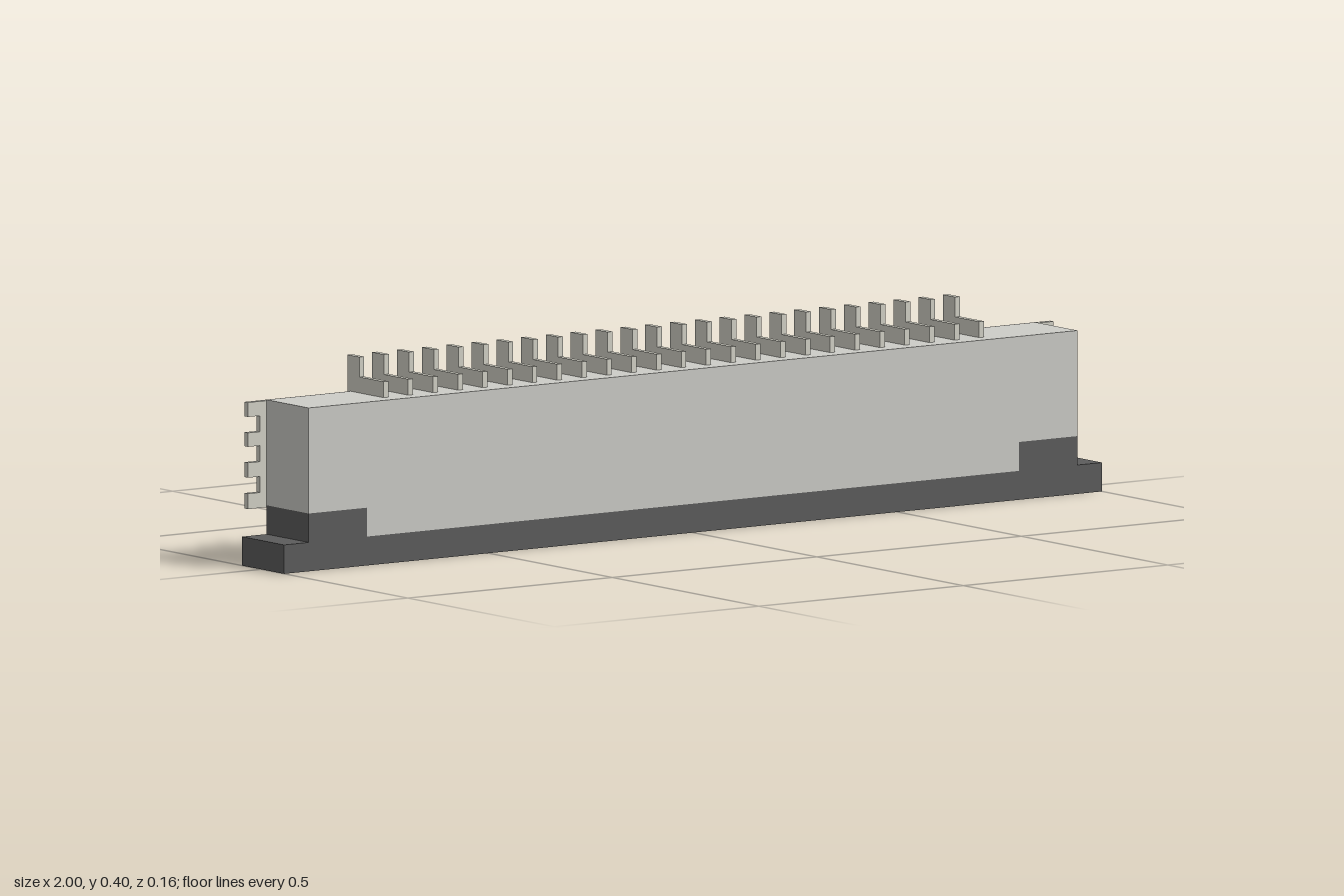
import * as THREE from 'three';

const mat = (color) => new THREE.MeshStandardMaterial({ color, flatShading: true });

export function createModel() {
  const root = new THREE.Group();
  const housingMat = mat(0xcdcdc8);
  const metalMat = mat(0xd4d3c8);
  const darkMat = mat(0x5c5c5c);

  // Box given by its lower and upper limits on each axis
  function box(name, material, [x0, x1], [y0, y1], [z0, z1], parent = root) {
    const mesh = new THREE.Mesh(new THREE.BoxGeometry(x1 - x0, y1 - y0, z1 - z0), material);
    mesh.position.set((x0 + x1) / 2, (y0 + y1) / 2, (z0 + z1) / 2);
    mesh.name = name;
    parent.add(mesh);
    return mesh;
  }

  // Flat outline extruded by depth along +z
  function extrude(points, depth) {
    const shape = new THREE.Shape(points.map(([x, y]) => new THREE.Vector2(x, y)));
    return new THREE.ExtrudeGeometry(shape, { depth, bevelEnabled: false });
  }

  const BACK = -0.066, FRONT = 0.078, PLATE = -0.078;
  const PITCH = 0.0607, PINS = 25, SLOT = 0.79;

  // Housing: main block, core behind the front bar, raised back panel
  const housing = new THREE.Group();
  housing.name = 'housing';
  root.add(housing);
  box('housingBlock', housingMat, [-0.94, 0.94], [0.116, 0.328], [BACK, FRONT], housing);
  box('housingCore', housingMat, [-0.797, 0.797], [0.058, 0.116], [-0.025, FRONT], housing);
  box('backPanel', housingMat, [-0.8, 0.8], [0.112, 0.326], [PLATE, BACK], housing);

  // Dark slider: U-shaped base with a slot open to the back, plus end blocks
  const slider = new THREE.Group();
  slider.name = 'slider';
  root.add(slider);
  const base = new THREE.Mesh(extrude([
    [-1, -FRONT], [1, -FRONT], [1, -BACK], [SLOT, -BACK],
    [SLOT, -0.025], [-SLOT, -0.025], [-SLOT, -BACK], [-1, -BACK],
  ], 0.058), darkMat);
  base.rotation.x = -Math.PI / 2;
  base.name = 'sliderBase';
  slider.add(base);

  for (const s of [-1, 1]) {
    const xs = s > 0 ? [0.797, 0.94] : [-0.94, -0.797];
    box('sliderEndBlock', darkMat, xs, [0.058, 0.116], [BACK, FRONT], slider);

    // Metal end plate with a comb of four tabs on its outer edge
    const outline = [[s * 0.8, 0.112]];
    for (const [lo, hi] of [[0.112, 0.143], [0.175, 0.205], [0.237, 0.265], [0.297, 0.326]]) {
      if (lo > 0.12) outline.push([s * 0.956, lo]);
      outline.push([s * 0.985, lo], [s * 0.985, hi]);
      if (hi < 0.32) outline.push([s * 0.956, hi]);
    }
    outline.push([s * 0.8, 0.326]);
    const plate = new THREE.Mesh(extrude(outline, BACK - PLATE), metalMat);
    plate.position.z = PLATE;
    plate.name = 'endPlate';
    root.add(plate);
  }

  // Row of ribs across the lower back
  for (let i = 0; i <= PINS; i++) {
    const x = (i - PINS / 2) * PITCH;
    box('backRib', housingMat, [x - 0.0245, x + 0.0245], [0, 0.116], [-0.072, -0.025]);
  }

  // L-shaped contact pins on top; outline drawn in z and y, thickness along x
  const pinGeo = extrude([
    [-0.046, 0.32], [0.077, 0.32], [0.077, 0.4], [0.036, 0.4], [0.036, 0.36], [-0.046, 0.36],
  ], 0.012);
  pinGeo.translate(0, 0, -0.006);
  pinGeo.rotateY(Math.PI / 2);
  for (let i = 0; i < PINS; i++) {
    const pin = new THREE.Mesh(pinGeo, metalMat);
    pin.position.x = (i - (PINS - 1) / 2) * PITCH;
    pin.name = 'contactPin';
    root.add(pin);
  }

  return root;
}
